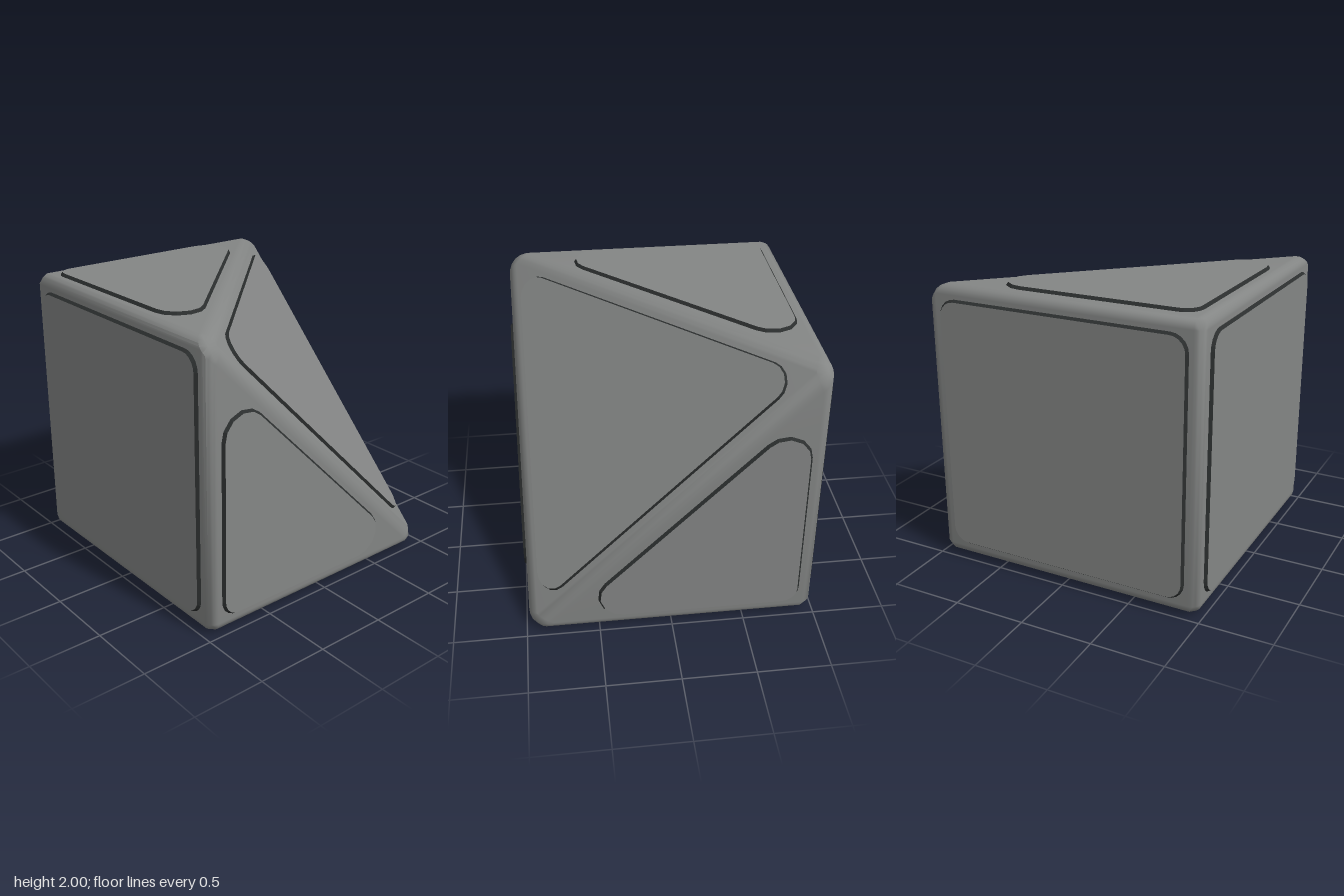
import * as THREE from 'three';
import { toCreasedNormals } from 'three/addons/utils/BufferGeometryUtils.js';
import { ConvexGeometry } from 'three/addons/geometries/ConvexGeometry.js';

const S = 0.98;        // half size of the body
const BEVEL = 0.068;   // edge rounding of the body
const vec = (x, y, z) => new THREE.Vector3(x, y, z);

// circular arc from a to b whose tangents meet at c
function arc(a, c, b, weight, segments) {
  const points = [];
  for (let i = 0; i <= segments; i++) {
    const t = i / segments;
    const wa = (1 - t) ** 2, wc = 2 * t * (1 - t) * weight, wb = t * t;
    points.push(vec(0, 0, 0).addScaledVector(a, wa).addScaledVector(c, wc)
      .addScaledVector(b, wb).divideScalar(wa + wc + wb));
  }
  return points;
}

// unit directions to both neighbours of a loop corner, and the corner angle
function corner(loop, i) {
  const n = loop.length;
  const u = loop[(i + n - 1) % n].clone().sub(loop[i]).normalize();
  const v = loop[(i + 1) % n].clone().sub(loop[i]).normalize();
  return { u, v, angle: u.angleTo(v) };
}

// loop moved inwards by distance d
function inset(loop, d) {
  return loop.map((p, i) => {
    const { u, v, angle } = corner(loop, i);
    return p.clone().addScaledVector(u.add(v), d / Math.sin(angle));
  });
}

// loop with rounded corners; sharper corners get a larger radius
function rounded(loop, shrink) {
  return loop.flatMap((p, i) => {
    const { u, v, angle } = corner(loop, i);
    const radius = (angle > 1.3 ? 0.12 : angle > 0.9 ? 0.135 : 0.173) - shrink;
    const len = radius / Math.tan(angle / 2);
    return arc(p.clone().addScaledVector(u, len), p, p.clone().addScaledVector(v, len),
      Math.sin(angle / 2), 5);
  });
}

function fromTriangles(points) {
  const geometry = new THREE.BufferGeometry().setFromPoints(points);
  geometry.computeVertexNormals();
  return geometry;
}

export function createModel() {
  const grey = new THREE.MeshStandardMaterial({ color: 0x848685 });
  grey.name = 'grey';
  const dark = new THREE.MeshStandardMaterial({ color: 0x2b2e2e });
  dark.name = 'dark rim';

  const model = new THREE.Group();
  model.name = 'cutCornerCube';
  const centred = new THREE.Group();
  centred.name = 'cube';
  centred.position.y = 1;
  model.add(centred);
  const add = (geometry, material, name) => {
    const mesh = new THREE.Mesh(geometry, material);
    mesh.name = name;
    centred.add(mesh);
  };

  // cube corners without the one that is cut off
  const vertices = [];
  for (const x of [-S, S]) for (const y of [-S, S]) for (const z of [-S, S])
    if (x + y + z < 2) vertices.push(vec(x, y, z));

  // the seven faces, each with its corners in counter-clockwise order
  const faces = [
    ['left', vec(1, 0, 0)], ['right', vec(-1, 0, 0)], ['top', vec(0, 1, 0)],
    ['bottom', vec(0, -1, 0)], ['front', vec(0, 0, 1)], ['back', vec(0, 0, -1)],
    ['slanted', vec(1, 1, 1).normalize()],
  ].map(([name, normal]) => {
    const reach = Math.max(...vertices.map(p => p.dot(normal)));
    const loop = vertices.filter(p => p.dot(normal) > reach - 1e-6);
    const mid = loop.reduce((sum, p) => sum.add(p), vec(0, 0, 0)).divideScalar(loop.length);
    const e1 = loop[0].clone().sub(mid).normalize();
    const e2 = normal.clone().cross(e1);
    const angle = p => {
      const q = p.clone().sub(mid);
      return Math.atan2(q.dot(e2), q.dot(e1));
    };
    loop.sort((a, b) => angle(a) - angle(b));
    return { name, normal, loop };
  });

  // body: hull of the arcs that join neighbouring faces at each corner
  const hull = [];
  for (const v of vertices) {
    const around = faces.filter(f => f.loop.includes(v));
    around.forEach((a, i) => around.slice(i + 1).forEach(b => {
      const cos = a.normal.dot(b.normal);
      if (cos < -0.6 || (cos < -0.1 && around.length > 3)) return;
      const pa = inset(a.loop, BEVEL)[a.loop.indexOf(v)];
      const pb = inset(b.loop, BEVEL)[b.loop.indexOf(v)];
      const control = v.clone();
      const other = a.loop.find(p => p !== v && b.loop.includes(p));
      if (other) {
        const dir = other.clone().sub(v).normalize();
        const along = pa.clone().add(pb).multiplyScalar(0.5).sub(v).dot(dir);
        control.addScaledVector(dir, along);
      }
      hull.push(...arc(pa, control, pb, Math.sqrt((1 + cos) / 2), 6));
    }));
  }
  add(toCreasedNormals(new ConvexGeometry(hull), 0.75), grey, 'body');

  // raised panel with a dark bevelled rim on every face
  for (const { name, normal, loop } of faces) {
    const slope = name === 'slanted' ? 0.009 : 0.015;
    const base = rounded(inset(loop, 0.095), 0);
    const top = rounded(inset(loop, 0.095 + slope), slope)
      .map(p => p.addScaledVector(normal, 0.02));
    const rim = [], cap = [];
    base.forEach((p, i) => {
      const j = (i + 1) % base.length;
      rim.push(p, base[j], top[j], p, top[j], top[i]);
      if (i > 0 && j > 0) cap.push(top[0], top[i], top[j]);
    });
    add(fromTriangles(rim), dark, name + 'PanelRim');
    add(fromTriangles(cap), grey, name + 'Panel');
  }
  return model;
}
